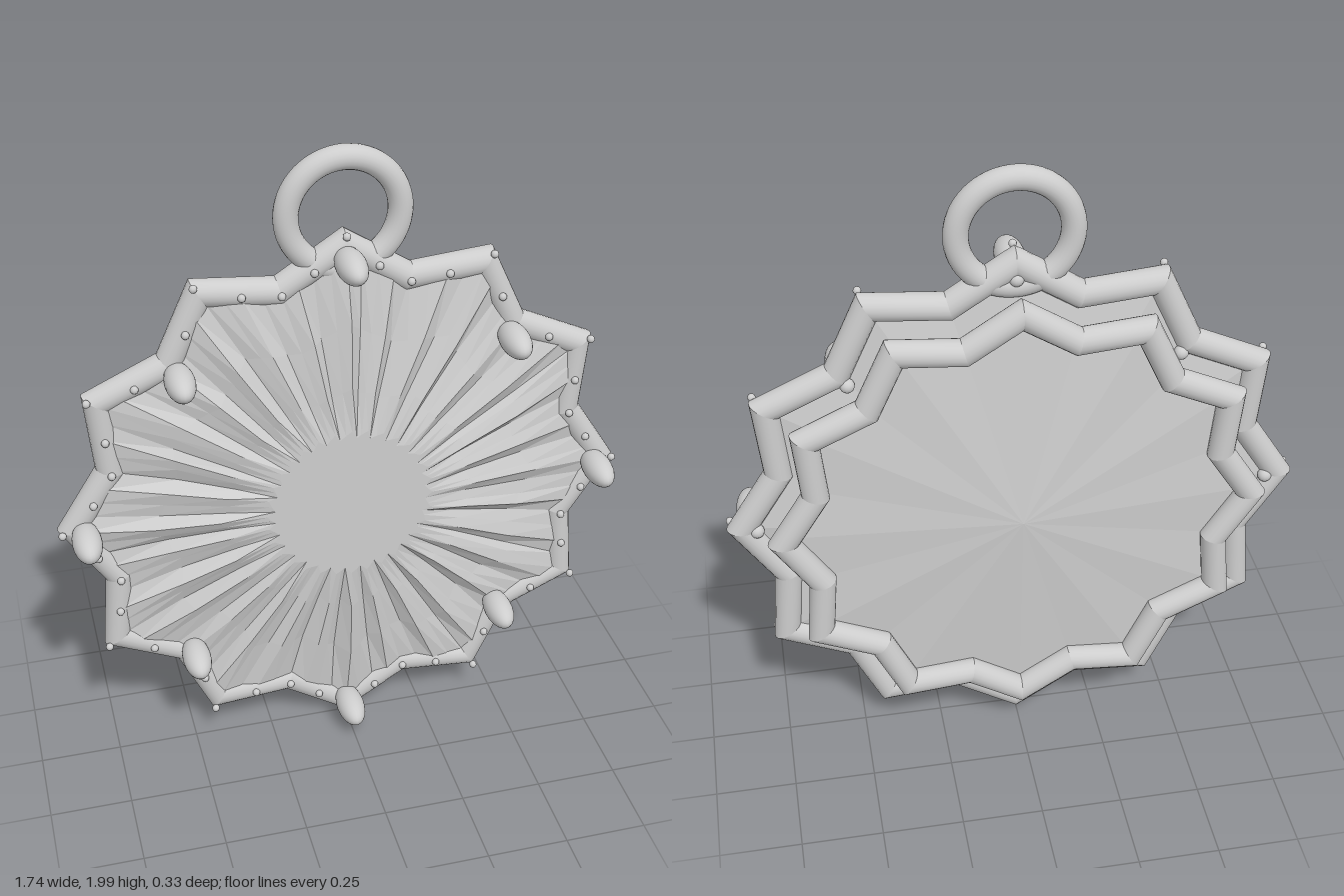
import * as THREE from 'three';

const CY = 0.885;
const COUNT = 24;
// outline radii for one quarter turn: tip, valley, tip, valley ...
const QUARTER = [0.822, 0.726, 0.833, 0.725, 0.833, 0.726];

function outline(i, scale = 1) {
  const k = ((i % COUNT) + COUNT) % COUNT;
  const a = (k / COUNT) * Math.PI * 2;
  const r = QUARTER[k % 6] * scale;
  return new THREE.Vector2(Math.cos(a) * r, Math.sin(a) * r);
}

// point on the outline at a fractional index
function edgeAt(u) {
  const i = Math.floor(u);
  return outline(i).lerp(outline(i + 1), u - i);
}

function build(positions, index) {
  const g = new THREE.BufferGeometry();
  g.setAttribute('position', new THREE.Float32BufferAttribute(positions, 3));
  if (index) g.setIndex(index);
  g.computeVertexNormals();
  return g;
}

// round bar swept along the star outline with mitred corners
function starRim(scale, radius) {
  const sides = 18, pos = [], idx = [];
  const section = (i) => {
    const p = outline(i, scale);
    const d0 = p.clone().sub(outline(i - 1, scale)).normalize();
    const d1 = outline(i + 1, scale).sub(p).normalize();
    const n0 = new THREE.Vector2(d0.y, -d0.x), n1 = new THREE.Vector2(d1.y, -d1.x);
    const m = n0.clone().add(n1).normalize();
    m.multiplyScalar(1 / m.dot(n1));
    for (let s = 0; s < sides; s++) {
      const a = (s / sides) * Math.PI * 2, c = Math.cos(a) * radius;
      pos.push(p.x + m.x * c, p.y + m.y * c, Math.sin(a) * radius);
    }
  };
  for (let i = 0; i < COUNT; i++) {
    const base = pos.length / 3;
    section(i);
    section(i + 1);
    for (let s = 0; s < sides; s++) {
      const a = base + s, b = base + (s + 1) % sides;
      idx.push(a, a + sides, b, b, a + sides, b + sides);
    }
  }
  return build(pos, idx);
}

// shallow faceted cone that closes the star; side is +1 facing front, -1 facing back
function starFan(scale, edgeZ, centreZ, side) {
  const pos = [];
  for (let i = 0; i < COUNT; i++) {
    let a = outline(i, scale), b = outline(i + 1, scale);
    if (side < 0) [a, b] = [b, a];
    pos.push(0, 0, centreZ, a.x, a.y, edgeZ, b.x, b.y, edgeZ);
  }
  return build(pos);
}

// pleated front dish around a flat round centre
function pleatedDish() {
  let seed = 7;
  const rand = () => (seed = (seed * 16807) % 2147483647) / 2147483647;
  const cols = 96, rows = [0, 0.25, 0.6, 1];
  const amp = [0, 0.009, 0.012, 0.006], wave = [1, 0, -1];
  const origin = new THREE.Vector2();
  const grid = [];
  for (let c = 0; c < cols; c++) {
    const edge = edgeAt(c / 4);
    const ang = (c / cols) * Math.PI * 2;
    const inner = new THREE.Vector2(Math.cos(ang), Math.sin(ang)).multiplyScalar(0.245 + 0.012 * wave[c % 3]);
    const height = wave[c % 3] * (0.6 + 0.7 * rand());
    const skew = (rand() - 0.5) * 0.03;
    grid.push(rows.map((t, k) => {
      const p = inner.clone().lerp(edge, t);
      if (k < 3) p.rotateAround(origin, skew);
      return [p.x, p.y, 0.075 - 0.062 * t + height * amp[k]];
    }));
  }
  const pos = [];
  for (let c = 0; c < cols; c++) {
    const A = grid[c], B = grid[(c + 1) % cols];
    pos.push(0, 0, 0.075, ...A[0], ...B[0]);
    for (let k = 0; k < rows.length - 1; k++) {
      pos.push(...A[k], ...A[k + 1], ...B[k + 1], ...A[k], ...B[k + 1], ...B[k]);
    }
  }
  return build(pos);
}

export function createModel() {
  const model = new THREE.Group();
  model.name = 'starPendant';
  const metal = new THREE.MeshStandardMaterial({ color: 0xcdcdcd });
  metal.name = 'light grey metal';

  const add = (name, geometry, x, y, z, parent = model) => {
    const mesh = new THREE.Mesh(geometry, metal);
    mesh.name = name;
    mesh.position.set(x, y, z);
    parent.add(mesh);
  };

  // front star with pleated face and coned reverse
  add('frontRim', starRim(1, 0.041), 0, CY, -0.014);
  add('pleatedDish', pleatedDish(), 0, CY, 0);
  add('frontStarReverse', starFan(1, -0.02, -0.135, -1), 0, CY, 0);

  // smaller star behind
  add('backRim', starRim(0.86, 0.04), 0, CY + 0.012, -0.125);
  add('backPanel', starFan(0.86, -0.105, -0.16, -1), 0, CY + 0.012, 0);
  add('backPanelInside', starFan(0.86, -0.104, -0.155, 1), 0, CY + 0.012, 0);

  // hanging loop
  add('hangingLoop', new THREE.TorusGeometry(0.164, 0.036, 20, 64), 0, 1.8, -0.015);

  // eight long studs, with a small rivet behind each
  const studs = new THREE.Group();
  studs.name = 'studs';
  model.add(studs);
  const studShape = new THREE.SphereGeometry(0.044, 24, 18).scale(1, 1, 2.1);
  const rivetShape = new THREE.SphereGeometry(0.022, 14, 10);
  for (let i = 0; i < 8; i++) {
    const a = (i * Math.PI) / 4, r = i % 2 ? 0.698 : 0.793;
    const c = Math.cos(a), s = Math.sin(a);
    add('stud', studShape, c * r, CY + s * r, 0.072, studs);
    add('rivet', rivetShape, c * (r - 0.012), CY + s * (r - 0.012), -0.038, studs);
  }

  // fine beads along the front rim, at every corner and halfway between
  const beads = new THREE.Group();
  beads.name = 'beads';
  model.add(beads);
  const beadShape = new THREE.SphereGeometry(0.012, 10, 8);
  for (let i = 0; i < COUNT * 2; i++) {
    const tip = i % 4 === 0;
    const p = edgeAt(i / 2).multiplyScalar(tip ? 1.045 : 1);
    add('bead', beadShape, p.x, CY + p.y, tip ? 0.024 : 0.03, beads);
  }
  return model;
}
